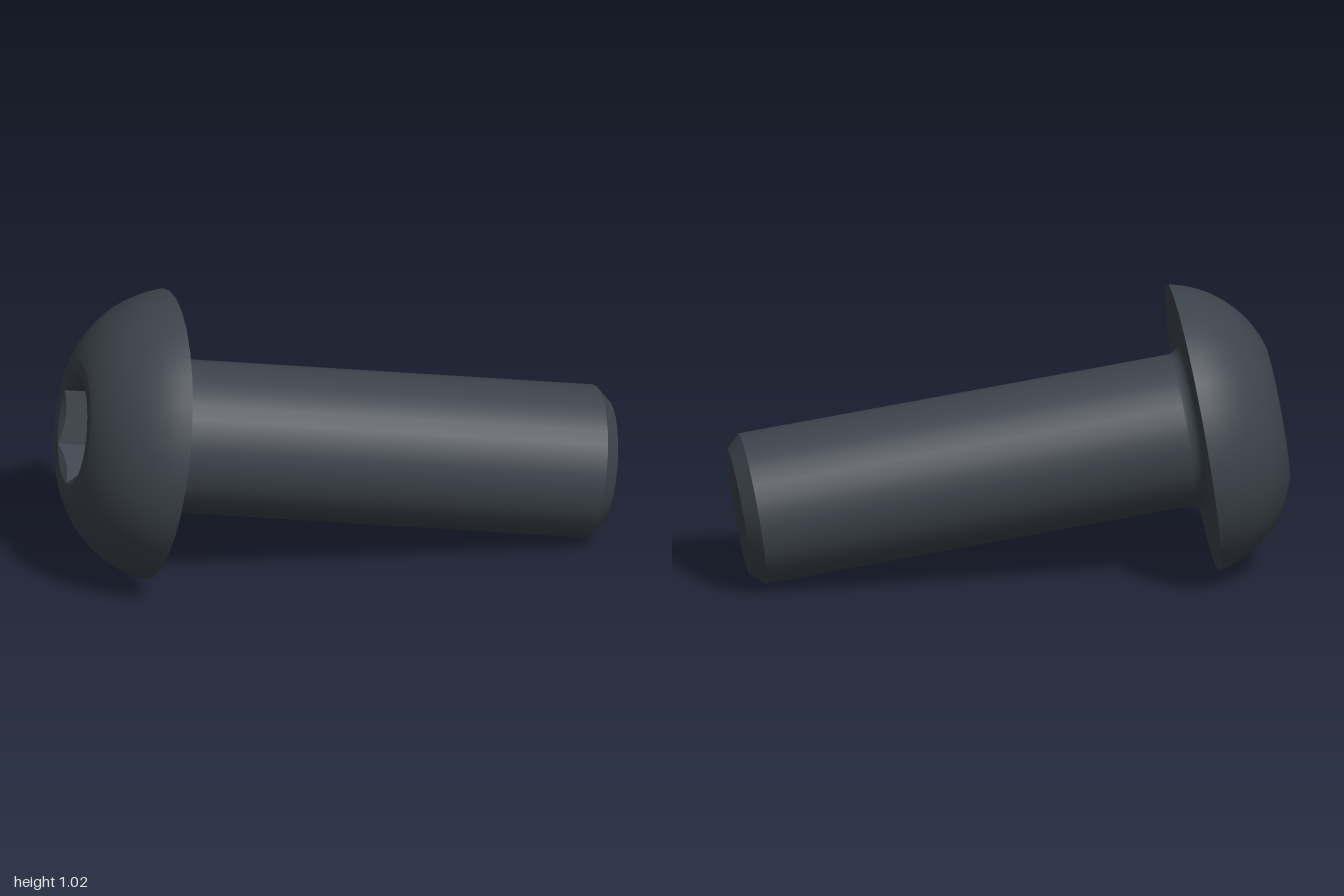
import * as THREE from 'three';

const SEGMENTS = 32;
const HEAD_R = 0.518, HEAD_H = 0.3, SHAFT_R = 0.272, LENGTH = 1.642;
const SOCKET_R = 0.198, HEX_APOTHEM = 0.17, SOCKET_FLOOR = 0.1;

export function createModel() {
  const steel = new THREE.MeshStandardMaterial({ color: 0x3c434b });
  steel.name = 'dark steel';

  const model = new THREE.Group();
  model.name = 'buttonHeadScrew';

  const add = (name, geometry) => {
    const mesh = new THREE.Mesh(geometry, steel);
    mesh.name = name;
    model.add(mesh);
  };
  // Profiles run as [radius, height] from the tip towards the head
  const turn = (name, profile) =>
    add(name, new THREE.LatheGeometry(profile.map(([r, y]) => new THREE.Vector2(r, y)), SEGMENTS));

  // Shaft with chamfered tip
  const chamferY = -LENGTH + 0.05;
  turn('tipFace', [[0, -LENGTH], [0.225, -LENGTH]]);
  turn('tipChamfer', [[0.225, -LENGTH], [SHAFT_R, chamferY]]);
  const fillet = 0.04;
  turn('shaft', [[SHAFT_R, chamferY], [SHAFT_R, -fillet]]);

  // Fillet where the shaft meets the head
  const filletProfile = [];
  for (let i = 0; i <= 5; i++) {
    const t = (i / 5) * Math.PI / 2;
    filletProfile.push([SHAFT_R + fillet * (1 - Math.cos(t)), -fillet + fillet * Math.sin(t)]);
  }
  turn('shaftFillet', filletProfile);
  turn('headUnderside', [[SHAFT_R + fillet, 0], [HEAD_R, 0]]);

  // Domed head: an arc from the rim to the flat around the socket
  const cx = 0.126, cy = -0.08, arcR = 0.4;
  const start = Math.atan2(-cy, HEAD_R - cx);
  const end = Math.atan2(HEAD_H - cy, 0.25 - cx);
  const dome = [];
  for (let i = 0; i <= 10; i++) {
    const t = start + (end - start) * i / 10;
    dome.push([cx + arcR * Math.cos(t), cy + arcR * Math.sin(t)]);
  }
  dome.push([0.24, HEAD_H], [SOCKET_R, HEAD_H]);
  turn('headDome', dome);

  // Hexagonal socket: countersink, six walls and floor, joined from loops
  const loop = (fn) => Array.from({ length: 97 }, (_, i) => {
    const angle = (i / 96) * Math.PI * 2;
    const hexR = HEX_APOTHEM / Math.cos((angle % (Math.PI / 3)) - Math.PI / 6);
    const [r, y] = fn(hexR);
    return [r * Math.sin(angle), y, r * Math.cos(angle)];
  });
  const band = (lower, upper) => {
    const p = [];
    for (let i = 0; i < 96; i++) {
      p.push(...lower[i], ...lower[i + 1], ...upper[i]);
      p.push(...lower[i + 1], ...upper[i + 1], ...upper[i]);
    }
    const g = new THREE.BufferGeometry();
    g.setAttribute('position', new THREE.Float32BufferAttribute(p, 3));
    g.computeVertexNormals();
    return g;
  };
  const mouth = loop(() => [SOCKET_R, HEAD_H]);
  const lip = loop((h) => [h, HEAD_H - (SOCKET_R - h) * 0.577]);
  const base = loop((h) => [h, SOCKET_FLOOR]);
  const centre = loop(() => [0, SOCKET_FLOOR]);
  add('socketCountersink', band(mouth, lip));
  add('socketWalls', band(lip, base));
  add('socketFloor', band(base, centre));

  // Tilt the screw: local y is the axis towards the head, local z a socket corner
  const axis = new THREE.Vector3(-0.966, 0.152, -0.208).normalize();
  const corner = new THREE.Vector3(-0.252, -0.389, 0.885);
  const side = new THREE.Vector3().crossVectors(axis, corner).normalize();
  corner.crossVectors(side, axis);
  model.quaternion.setFromRotationMatrix(new THREE.Matrix4().makeBasis(side, axis, corner));
  model.position.set(-0.645, 0.515, -0.046);

  const root = new THREE.Group();
  root.name = 'screw';
  root.add(model);
  return root;
}
